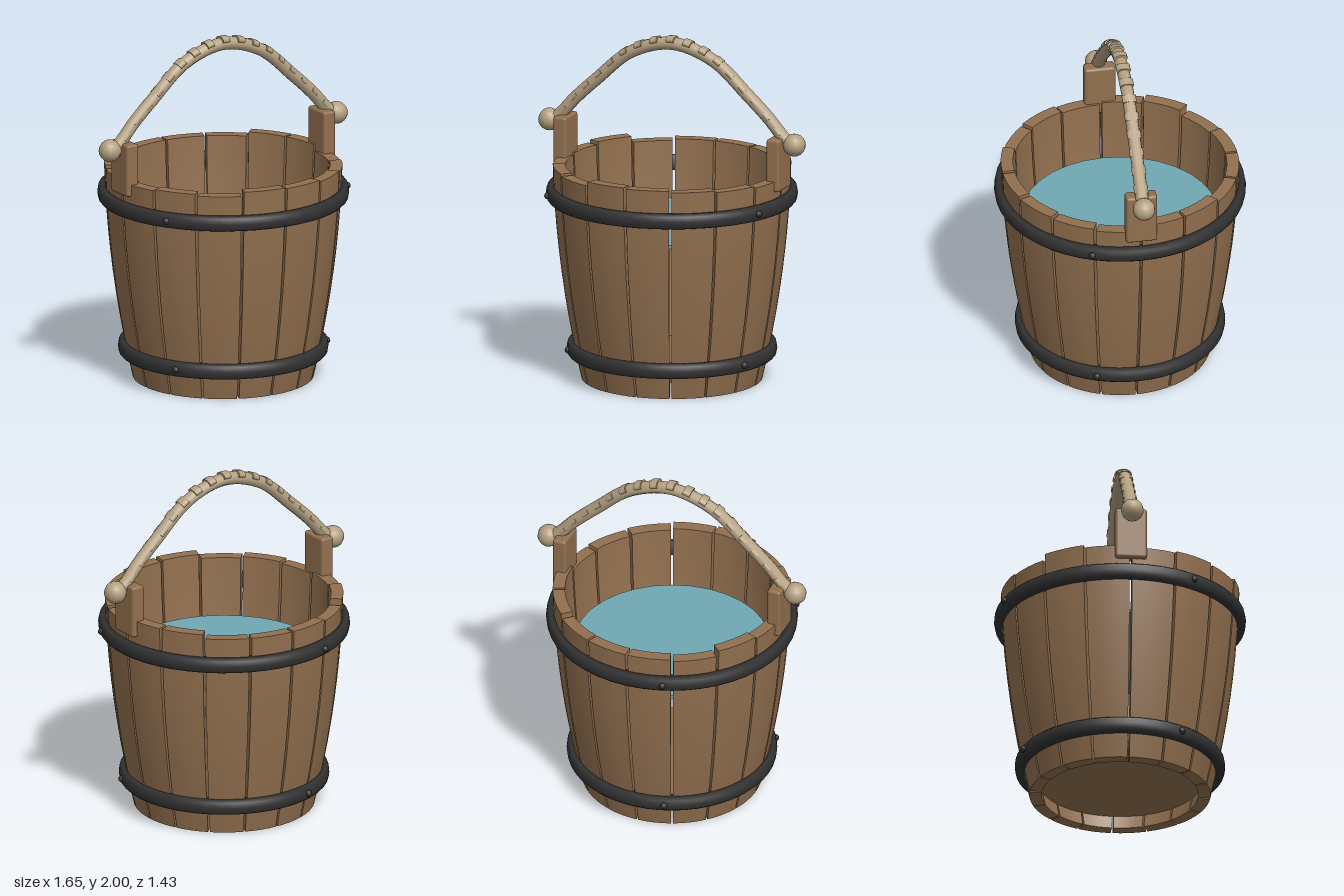
import * as THREE from 'three';
import { RoundedBoxGeometry } from 'three/addons/geometries/RoundedBoxGeometry.js';

const material = (name, color) => {
  const m = new THREE.MeshStandardMaterial({ color });
  m.name = name;
  return m;
};

// outer radius of the bucket wall at height y
const wallRadius = (y) => 0.515 + 0.233 * y - 0.082 * y * y;

export function createModel() {
  const wood = material('wood', 0x92704f);
  const iron = material('iron', 0x323233);
  const rope = material('rope', 0xb5a182);
  const water = material('water', 0x70a7b3);

  const model = new THREE.Group();
  model.name = 'bucket';
  const add = (name, geometry, mat, parent = model) => {
    const mesh = new THREE.Mesh(geometry, mat);
    mesh.name = name;
    parent.add(mesh);
    return mesh;
  };
  const group = (name) => {
    const g = new THREE.Group();
    g.name = name;
    model.add(g);
    return g;
  };

  // staves: boxes bent round the axis, with uneven tops and narrow gaps
  const staves = group('staves');
  const count = 16;
  const step = (Math.PI * 2) / count;
  const tops = [1.26, 1.25, 1.24, 1.23, 1.265, 1.265, 1.24, 1.24,
    1.24, 1.23, 1.265, 1.25, 1.24, 1.25, 1.24, 1.265];
  tops.forEach((top, i) => {
    const g = new THREE.BoxGeometry(1, 1, 1, 4, 10, 1);
    const p = g.attributes.position;
    for (let v = 0; v < p.count; v++) {
      const angle = (i + 0.5) * step + p.getX(v) * (step - 0.022);
      const y = (p.getY(v) + 0.5) * top;
      const r = wallRadius(y) - (p.getZ(v) < 0 ? 0.07 : 0);
      p.setXYZ(v, r * Math.sin(angle), y, r * Math.cos(angle));
    }
    g.computeVertexNormals();
    add('stave', g, wood, staves);
  });

  // recessed floor and water surface
  add('floor', new THREE.CylinderGeometry(0.47, 0.465, 0.04, 32), wood).position.y = 0.1;
  add('water', new THREE.CylinderGeometry(0.555, 0.555, 0.02, 32), water).position.y = 0.9;

  // iron hoops with rivets
  for (const [name, y] of [['upperHoop', 1.085], ['lowerHoop', 0.177]]) {
    const hoop = group(name);
    hoop.position.y = y;
    const r = wallRadius(y);
    const profile = [[-0.012, -0.043], [0.027, -0.043], [0.04, -0.03], [0.045, 0],
      [0.04, 0.03], [0.027, 0.043], [-0.012, 0.043], [-0.012, -0.043]]
      .map(([dx, dy]) => new THREE.Vector2(r + dx, dy));
    add('band', new THREE.LatheGeometry(profile, 48), iron, hoop);
    for (const degrees of [67, 198, 301]) {
      const a = THREE.MathUtils.degToRad(degrees);
      const rivet = add('rivet', new THREE.SphereGeometry(0.02, 10, 8), iron, hoop);
      rivet.position.set((r + 0.042) * Math.sin(a), 0, (r + 0.042) * Math.cos(a));
    }
  }

  // ears and rope knots on both sides
  for (const side of [1, -1]) {
    add('ear', new RoundedBoxGeometry(0.08, 0.305, 0.18, 2, 0.015), wood)
      .position.set(side * 0.66, 1.322, 0);
    add('knot', new THREE.SphereGeometry(0.065, 12, 10), rope)
      .position.set(side * 0.758, 1.435, 0);
  }

  // arched rope handle
  const half = [[0.75, 1.435], [0.7, 1.465], [0.6, 1.575], [0.467, 1.7], [0.255, 1.88]];
  const points = [
    ...half.map(([x, y]) => new THREE.Vector3(-x, y, 0)),
    new THREE.Vector3(0, 1.955, 0),
    ...half.reverse().map(([x, y]) => new THREE.Vector3(x, y, 0)),
  ];
  const curve = new THREE.CatmullRomCurve3(points);
  const handle = group('handle');
  add('ropeTube', new THREE.TubeGeometry(curve, 48, 0.037, 10), rope, handle);

  // flattened strands laid across the rope
  const wraps = 17;
  for (let i = 0; i < wraps; i++) {
    const t = 0.06 + (0.88 * i) / (wraps - 1);
    const tangent = curve.getTangentAt(t);
    const wrap = add('ropeWrap', new THREE.CylinderGeometry(1, 1, 0.045, 12), rope, handle);
    wrap.scale.set(0.021, 1, 0.041);
    wrap.position.copy(curve.getPointAt(t));
    wrap.position.y += 0.024 * Math.sin(Math.PI * t);
    wrap.rotation.z = Math.atan2(tangent.y, tangent.x) - Math.PI / 2;
  }
  return model;
}
